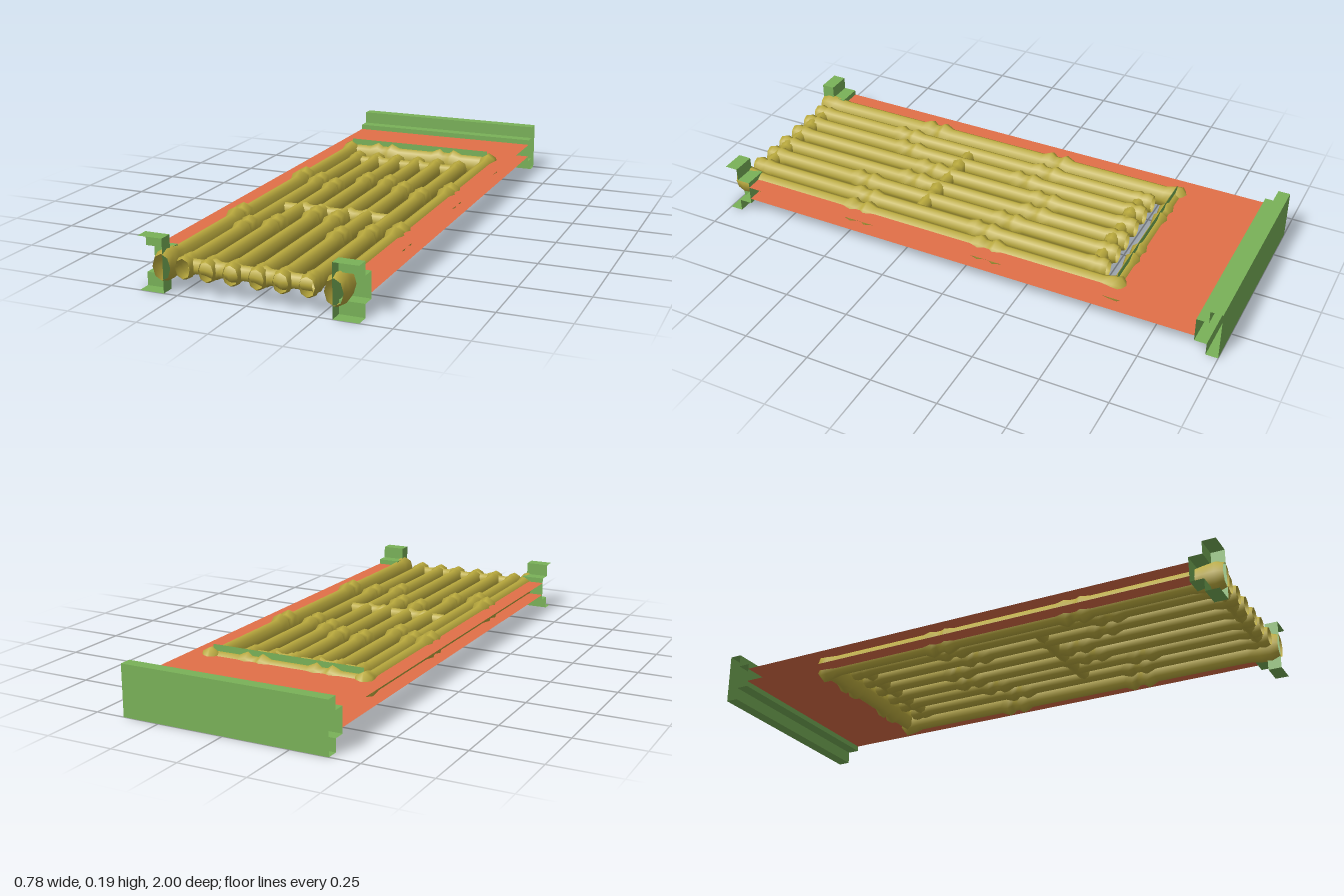
import * as THREE from 'three';

// All parts are open sheets or open tubes, so every colour is two-sided
const flat = (name, color) => {
  const mat = new THREE.MeshStandardMaterial({ color, side: THREE.DoubleSide });
  mat.name = name;
  return mat;
};
const bambooMat = flat('bamboo gold', 0xbbab3e);
const greenMat = flat('trim green', 0x79b158);
const orangeMat = flat('board orange', 0xe27048);

const MID = 0.09; // height of the bamboo axes

// Bamboo stalk along z from z0 to z1: r is half height, squash narrows the width,
// nodes are the joint positions, back/front are [offset, radius factor] end profiles.
function stalk(z0, z1, r, squash, nodes, back, front) {
  const pts = back.map(([d, f]) => [z0 + d, f]);
  for (const n of [...nodes].sort((a, b) => a - b)) {
    pts.push([n - 0.065, 1], [n - 0.03, 1.38], [n - 0.012, 1.05],
      [n + 0.012, 1.05], [n + 0.03, 1.38], [n + 0.065, 1]);
  }
  pts.push(...front.map(([d, f]) => [z1 - d, f]).reverse());
  const geo = new THREE.LatheGeometry(pts.map(([z, f]) => new THREE.Vector2(f * r, z)), 8);
  geo.rotateX(Math.PI / 2);
  geo.scale(squash, 1, 1);
  return geo;
}

// Sheet faces swept along x over a profile of [z, y] points
function sweep(profile, x0, x1) {
  const pos = [];
  for (let i = 0; i < profile.length - 1; i++) {
    const [az, ay] = profile[i], [bz, by] = profile[i + 1];
    pos.push(x0, ay, az, x1, ay, az, x1, by, bz, x0, ay, az, x1, by, bz, x0, by, bz);
  }
  const geo = new THREE.BufferGeometry();
  geo.setAttribute('position', new THREE.Float32BufferAttribute(pos, 3));
  geo.computeVertexNormals();
  return geo;
}

export function createModel() {
  const group = new THREE.Group();
  const add = (name, geo, mat, x = 0, y = 0, z = 0) => {
    const mesh = new THREE.Mesh(geo, mat);
    mesh.name = name;
    mesh.position.set(x, y, z);
    group.add(mesh);
  };

  // U-shaped board: top and underside sheets, open towards the front
  const outline = (s) => new THREE.ShapeGeometry(new THREE.Shape([
    [-0.39, -0.91], [0.39, -0.91], [0.39, 0.9], [0.3, 0.9],
    [0.3, -0.6], [-0.3, -0.6], [-0.3, 0.9], [-0.39, 0.9],
  ].map(([x, z]) => new THREE.Vector2(x, s * z))));
  add('boardTop', outline(-1).rotateX(-Math.PI / 2), orangeMat, 0, 0.12, 0);
  add('boardUnderside', outline(1).rotateX(Math.PI / 2), orangeMat, 0, 0.068, 0);

  // Stepped beam across the back, with open ends
  add('backBeam', sweep([[-1, 0], [-0.955, 0], [-0.955, 0.047], [-0.91, 0.047], [-0.91, 0.14],
    [-0.955, 0.14], [-0.955, 0.188], [-1, 0.188], [-1, 0]], -0.39, 0.39), greenMat);

  // Short stepped blocks at the front corners, closed only on the inner side
  const step = [[1, 0.188], [0.95, 0.188], [0.95, 0.14], [0.9, 0.14],
    [0.9, 0.047], [0.95, 0.047], [0.95, 0], [1, 0]];
  for (const s of [-1, 1]) {
    add('frontBlock', sweep(step, s > 0 ? 0.3 : -0.39, s > 0 ? 0.39 : -0.3), greenMat);
    const cap = new THREE.ShapeGeometry(new THREE.Shape(step.map(([z, y]) => new THREE.Vector2(s * z, y))));
    add('frontBlockInnerFace', cap.rotateY(-s * Math.PI / 2), greenMat, s * 0.3, 0, 0);
  }

  // Thin header strip standing out of the back crosspiece
  add('headerStrip', sweep([[-0.59, 0.06], [-0.59, 0.157]], -0.3, 0.3), greenMat);

  // Side rails with an open front end
  const railBack = [[0, 0.6], [0.025, 1.32], [0.05, 1.25], [0.09, 1]];
  const railFront = [[0, 1.05], [0.03, 1.32], [0.07, 1.2], [0.12, 1]];
  for (const s of [-1, 1]) {
    add('sideRail', stalk(-0.63, 1, 0.044, 0.72, [-0.09, 0.45], railBack, railFront),
      bambooMat, s * 0.305, MID, 0);
  }

  // Crosspiece at the back of the frame
  const plain = [[0, 1]];
  add('backCrosspiece', stalk(-0.29, 0.29, 0.043, 0.6, [-0.15, 0.125], plain, plain).rotateY(Math.PI / 2),
    bambooMat, 0, MID, -0.59);

  // Six inner poles with staggered joints and open ends
  const poleEnd = [[0, 1], [0.02, 1.22], [0.042, 1.02], [0.055, 1.2], [0.085, 1]];
  const poles = [
    [-0.233, -0.08, 0.545], [-0.148, -0.025, 0.49], [-0.06, -0.15, 0.345],
    [0.032, -0.15, 0.37], [0.117, -0.08, 0.535], [0.209, -0.025, 0.475],
  ];
  for (const [x, a, b] of poles) {
    add('innerPole', stalk(-0.52, 0.99, 0.035, 0.8, [a, b], poleEnd, poleEnd), bambooMat, x, MID, 0);
  }

  // Thin crossbars tying the poles together
  for (const z of [-0.47, 0.26, 0.95]) {
    add('crossbar', stalk(-0.22, 0.22, 0.027, 0.95, [-0.1, 0.08], plain, plain).rotateY(Math.PI / 2),
      bambooMat, 0, MID, z);
  }
  return group;
}
